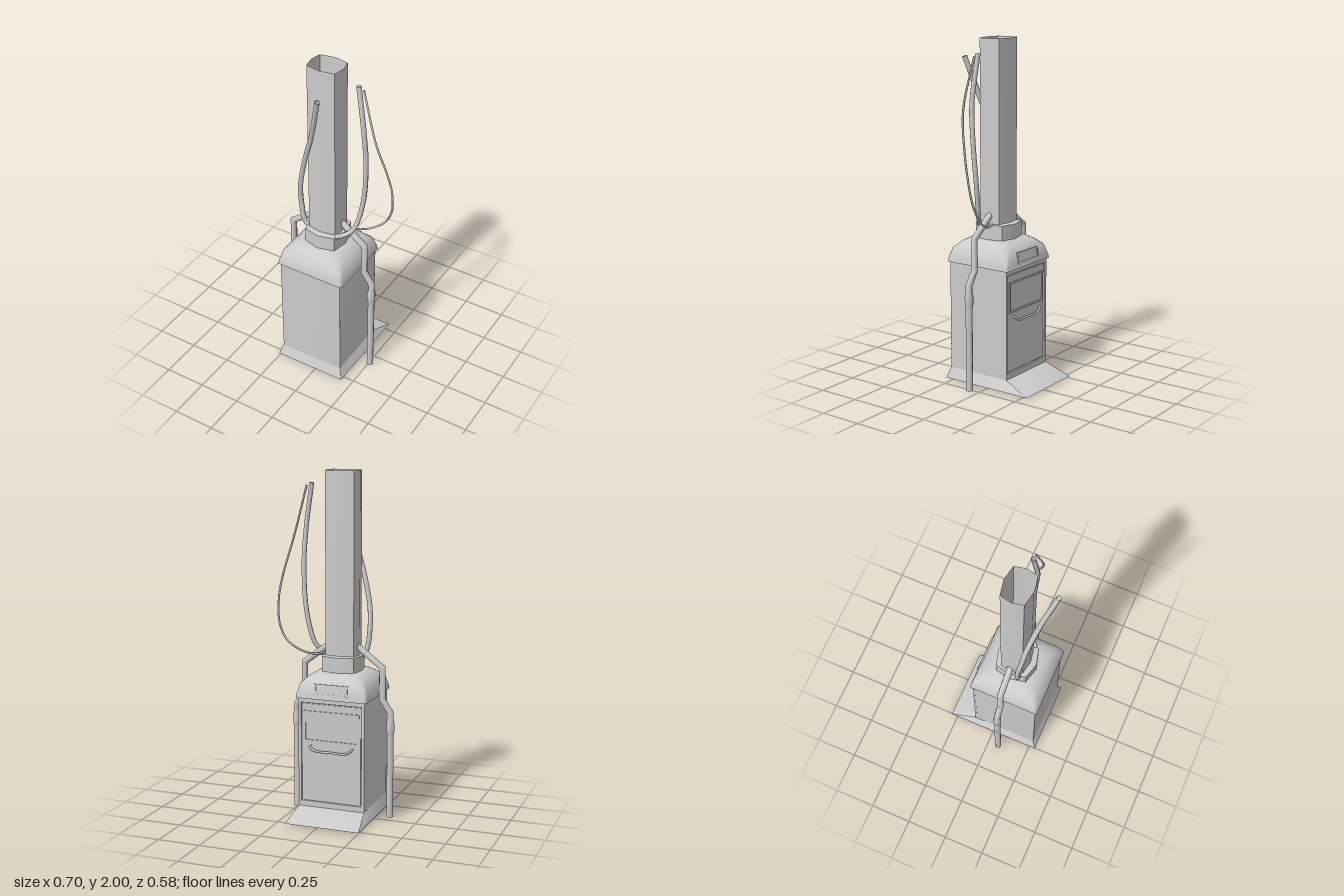
import * as THREE from 'three';
import { toCreasedNormals } from 'three/addons/utils/BufferGeometryUtils.js';

const CX = -0.034, CZ = 0.068; // centre axis of cabinet and column
const mat = new THREE.MeshStandardMaterial({ color: 0xcccccc, side: THREE.DoubleSide });
const V = (x, y, z) => new THREE.Vector3(x, y, z);

function add(parent, name, geometry, x = 0, y = 0, z = 0) {
  const m = new THREE.Mesh(geometry, mat);
  m.name = name;
  m.position.set(x, y, z);
  parent.add(m);
  return m;
}

// Skin over a stack of rings; every ring is a list of Vector3 of equal length
function loft(rings, closeTop = false, crease = 0.7) {
  const pos = [], idx = [], n = rings[0].length;
  rings.forEach(r => r.forEach(p => pos.push(p.x, p.y, p.z)));
  for (let i = 0; i < rings.length - 1; i++) {
    for (let j = 0; j < n; j++) {
      const a = i * n + j, b = i * n + (j + 1) % n;
      idx.push(a, a + n, b, b, a + n, b + n);
    }
  }
  const top = (rings.length - 1) * n;
  if (closeTop) for (let j = 1; j < n - 1; j++) idx.push(top, top + j + 1, top + j);
  const g = new THREE.BufferGeometry();
  g.setAttribute('position', new THREE.Float32BufferAttribute(pos, 3));
  g.setIndex(idx);
  return toCreasedNormals(g, crease);
}

// Rounded rectangle ring about (cx, cz) at height y
function rectRing(y, hx, hz, r, cx = CX, cz = CZ) {
  const pts = [];
  [[1, 1], [-1, 1], [-1, -1], [1, -1]].forEach(([sx, sz], q) => {
    for (let k = 0; k < 4; k++) {
      const a = (q + k / 3) * Math.PI / 2;
      pts.push(V(cx + sx * (hx - r) + r * Math.cos(a), y, cz + sz * (hz - r) + r * Math.sin(a)));
    }
  });
  return pts;
}

// Eight-sided ring: side points, diagonal points and end points
function octRing(y, side, dx, dz, end) {
  return [[side, 0], [dx, dz], [0, end], [-dx, dz], [-side, 0], [-dx, -dz], [0, -end], [dx, -dz]]
    .map(([x, z]) => V(CX + x, y, CZ + z));
}

// Flat rectangular frame with a rectangular opening
function frame(w, h, iw, ih, depth) {
  const rect = (P, a, b) => new P([[-a, -b], [a, -b], [a, b], [-a, b]]
    .map(([x, y]) => new THREE.Vector2(x / 2, y / 2)));
  const s = rect(THREE.Shape, w, h);
  s.holes.push(rect(THREE.Path, iw, ih));
  return new THREE.ExtrudeGeometry(s, { depth, bevelEnabled: false });
}

function tube(points, r, segments, sides) {
  return new THREE.TubeGeometry(
    new THREE.CatmullRomCurve3(points.map(p => V(...p))), segments, r, sides);
}

// Pipe with mitred bends, bent in the plane z = const
function mitredPipe(pts, z, r, sides = 8) {
  const P = pts.map(p => new THREE.Vector2(...p));
  const rings = P.map((p, i) => {
    const d1 = P[Math.min(i + 1, P.length - 1)].clone().sub(P[Math.min(i, P.length - 2)]).normalize();
    const d0 = i ? p.clone().sub(P[i - 1]).normalize() : d1;
    const t = d0.clone().add(d1).normalize();
    const s = r / t.dot(d1);
    return Array.from({ length: sides }, (_, k) => {
      const a = k / sides * Math.PI * 2, c = Math.cos(a) * s;
      return V(p.x + t.y * c, p.y - t.x * c, z + r * Math.sin(a));
    });
  });
  return loft(rings, false, 0.9);
}

export function createModel() {
  const root = new THREE.Group();
  root.name = 'columnCabinet';

  // Flared skirt, long at the back
  const baseRing = rectRing(0.01, 0.222, 0.289, 0.001, CX, 0);
  add(root, 'baseSkirt', loft([baseRing, rectRing(0.075, 0.2, 0.2, 0.001)], true));

  // Underside plate with an eight-sided recess
  const plate = new THREE.Shape(baseRing.map(p => new THREE.Vector2(p.x, p.z)));
  const oct = Array.from({ length: 8 }, (_, i) => {
    const a = i * Math.PI / 4;
    return new THREE.Vector2(CX + 0.175 * Math.cos(a), 0.06 + 0.175 * Math.sin(a));
  });
  plate.holes.push(new THREE.Path(oct));
  add(root, 'basePlate', new THREE.ShapeGeometry(plate).rotateX(Math.PI / 2), 0, 0.01, 0);
  const recess = [[1, 0.01], [0.8, 0.045], [0.78, 0.07]].map(([s, y]) =>
    oct.map(p => V(CX + (p.x - CX) * s, y, 0.06 + (p.y - 0.06) * s)));
  add(root, 'baseRecess', loft(recess, true));

  // Cabinet body with a sunken panel in the back
  add(root, 'cabinet', loft([rectRing(0.075, 0.2, 0.194, 0.001, CX, CZ + 0.006),
    rectRing(0.73, 0.2, 0.194, 0.001, CX, CZ + 0.006)], true));
  add(root, 'panelFrame', frame(0.4, 0.65, 0.366, 0.585, 0.012), CX, 0.4, -0.132);
  const panel = new THREE.Group();
  panel.name = 'backPanel';
  root.add(panel);
  add(panel, 'door', new THREE.BoxGeometry(0.354, 0.573, 0.008), CX, 0.4, -0.122);
  add(panel, 'windowFrame', frame(0.335, 0.18, 0.315, 0.16, 0.007), CX, 0.555, -0.132);
  add(panel, 'handle', tube([[-0.16, 0.44, -0.122], [-0.157, 0.435, -0.142], [-0.13, 0.416, -0.145],
    [CX, 0.413, -0.145], [0.062, 0.416, -0.145], [0.089, 0.435, -0.142], [0.092, 0.44, -0.122]],
    0.007, 30, 6));

  // Rounded cap
  const cap = [[0.715, 0.195, 0.001], [0.718, 0.213, 0.008], [0.74, 0.211, 0.014], [0.8, 0.199, 0.035],
    [0.835, 0.165, 0.05], [0.858, 0.128, 0.05]];
  add(root, 'cap', loft(cap.map(([y, h, r]) => rectRing(y, h, h, r)), true, 0.9));
  const label = add(root, 'capPlate', frame(0.2, 0.065, 0.18, 0.045, 0.01), CX, 0.775, -0.142);
  label.rotation.x = 0.17;
  const face = add(root, 'capPlateFace', new THREE.BoxGeometry(0.185, 0.05, 0.01), CX, 0.775, -0.133);
  face.rotation.x = 0.17;

  // Collar and hollow column
  add(root, 'collar', loft([octRing(0.85, 0.114, 0.096, 0.093, 0.119),
    octRing(0.945, 0.114, 0.096, 0.093, 0.119), octRing(0.95, 0.09, 0.08, 0.06, 0.075)]));
  add(root, 'column', loft([octRing(0.9, 0.099, 0.086, 0.066, 0.082),
    octRing(2, 0.099, 0.086, 0.066, 0.082)], false, 0.9));

  // Mirrored side pipes with coupling sleeves
  for (const s of [-1, 1]) {
    const name = s < 0 ? 'right' : 'left', X = d => CX + s * d;
    const arm = new THREE.Group();
    arm.name = name + 'SidePipe';
    root.add(arm);
    add(arm, 'bentPipe', mitredPipe([[X(0.03), 1.035], [X(0.1), 0.99], [X(0.239), 0.885], [X(0.239), 0.7],
      [X(0.29), 0.625], [X(0.29), 0.53]], 0.064, 0.019));
    add(arm, 'sleeve', new THREE.LatheGeometry([[0.019, 0.49], [0.024, 0.515], [0.025, 0.56], [0.019, 0.59]]
      .map(p => new THREE.Vector2(...p)), 8), X(0.29), 0, 0.064);
    add(arm, 'downPipe', new THREE.CylinderGeometry(0.02, 0.02, 0.53, 8), X(0.29), 0.265, 0.064);
  }

  // Loose hoses and a thin cable
  add(root, 'frontHose', tube([[-0.125, 0.93, 0.115], [-0.155, 0.965, 0.122], [-0.175, 1.1, 0.127],
    [-0.168, 1.22, 0.142], [-0.13, 1.39, 0.16], [-0.053, 1.62, 0.2], [0.026, 1.89, 0.262]], 0.015, 32, 8));
  add(root, 'sideHose', tube([[0.055, 0.945, 0.142], [0.095, 0.95, 0.11], [0.14, 0.99, 0.08],
    [0.188, 1.18, 0.058], [0.208, 1.44, 0.066], [0.2, 1.65, 0.078], [0.158, 1.925, 0.066]], 0.014, 32, 8));
  add(root, 'thinCable', tube([[0.06, 0.945, 0.038], [0.17, 0.955, 0.005], [0.274, 1.02, -0.022],
    [0.327, 1.12, -0.018], [0.34, 1.27, 0.005], [0.325, 1.4, 0.035], [0.274, 1.62, 0.082],
    [0.19, 1.91, 0.068]], 0.006, 40, 6));

  return root;
}
